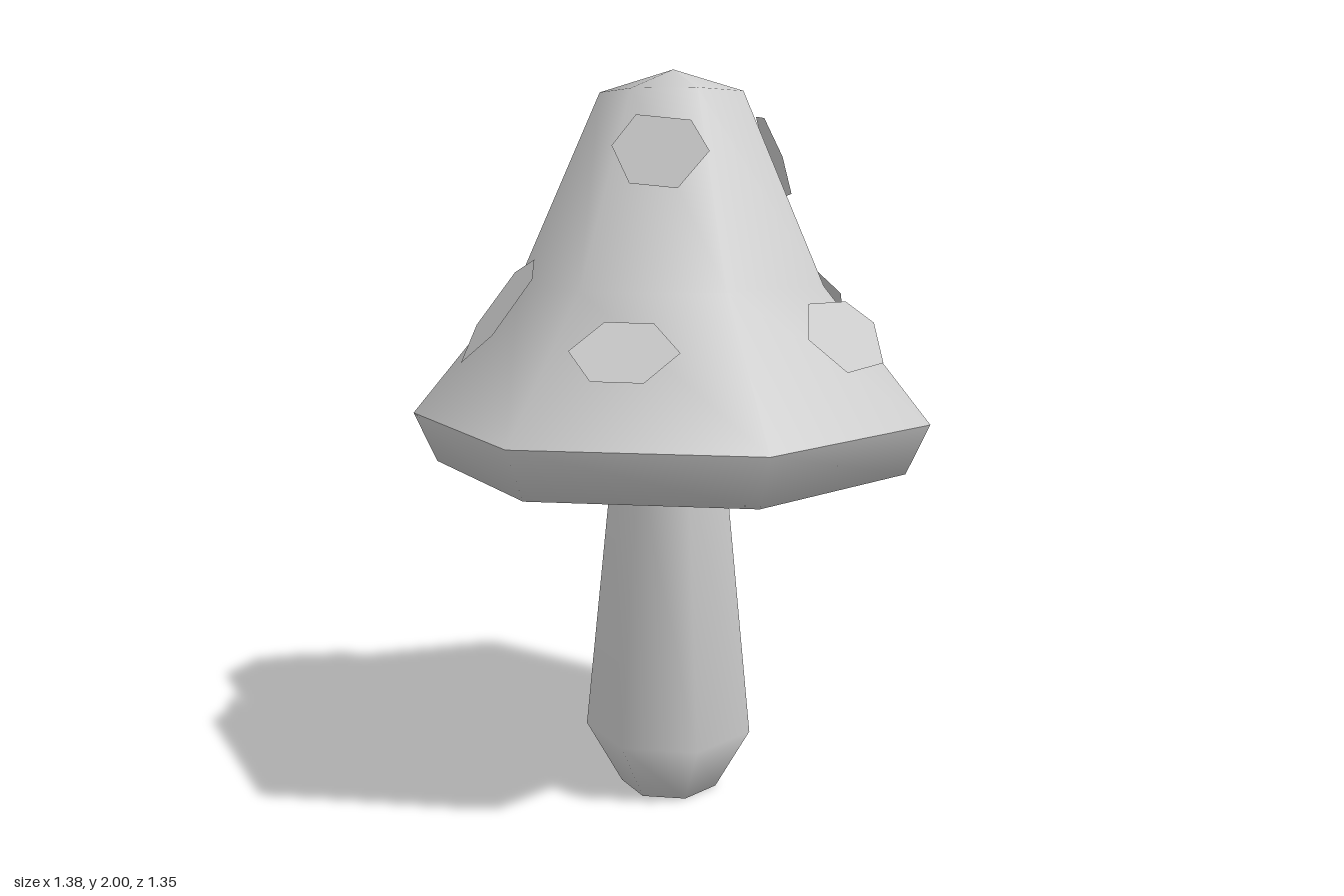
import * as THREE from 'three';

const grey = new THREE.MeshStandardMaterial({ color: 0xcccccc, side: THREE.DoubleSide });
grey.name = 'pale grey';
const black = new THREE.MeshStandardMaterial({ color: 0x0a0a0a, side: THREE.DoubleSide });
black.name = 'black';

// Seven-sided smooth turned part with one corner pointing back
function turned(name, profile, x, z) {
  const points = profile.map(([r, y]) => new THREE.Vector2(r, y));
  const mesh = new THREE.Mesh(new THREE.LatheGeometry(points, 7, Math.PI), grey);
  mesh.name = name;
  mesh.position.set(x, 0, z);
  return mesh;
}

// Flat six-sided spot: plan outline laid on a sloping plane
function spot({ name, centre: [cx, cy, cz], slope: [a, b], outline, material = grey }) {
  const positions = [];
  for (const [x, z] of outline) {
    positions.push(x, cy + a * (x - cx) + b * (z - cz) + 0.008, z);
  }
  const index = [];
  for (let i = 1; i < outline.length - 1; i++) index.push(0, i + 1, i);
  const geometry = new THREE.BufferGeometry();
  geometry.setAttribute('position', new THREE.Float32BufferAttribute(positions, 3));
  geometry.setIndex(index);
  geometry.computeVertexNormals();
  const mesh = new THREE.Mesh(geometry, material);
  mesh.name = name;
  return mesh;
}

const spots = [
  { name: 'frontSpot', centre: [0.13, 1.32, 0.525], slope: [-0.1, -1.25],
    outline: [[-0.03, 0.54], [0.05, 0.47], [0.21, 0.46], [0.28, 0.5], [0.22, 0.58], [0.05, 0.6]] },
  { name: 'lowerRightFrontSpot', centre: [-0.43, 1.3, 0.31], slope: [0.97, -0.7],
    outline: [[-0.51, 0.2], [-0.42, 0.23], [-0.35, 0.33], [-0.35, 0.42], [-0.44, 0.39], [-0.515, 0.285]] },
  { name: 'upperRightFrontSpot', centre: [-0.21, 1.775, 0.2], slope: [1.87, -1.43],
    outline: [[-0.28, 0.1], [-0.22, 0.125], [-0.14, 0.24], [-0.135, 0.3], [-0.21, 0.265], [-0.28, 0.165]] },
  { name: 'upperLeftFrontSpot', centre: [0.2, 1.77, 0.21], slope: [-2.17, -1.64],
    outline: [[0.27, 0.185], [0.19, 0.285], [0.135, 0.3], [0.145, 0.225], [0.205, 0.14], [0.27, 0.115]] },
  { name: 'upperBackSpot', centre: [0.13, 1.7, -0.23], slope: [-1.22, 2.25],
    outline: [[0.04, -0.3], [0.145, -0.275], [0.23, -0.205], [0.215, -0.165], [0.13, -0.19], [0.02, -0.26]] },
  { name: 'leftSpot', centre: [0.48, 1.365, 0.06], slope: [-1.35, 0.1],
    outline: [[0.57, -0.02], [0.59, 0.16], [0.475, 0.23], [0.39, 0.15], [0.385, -0.02], [0.47, -0.11]] },
  { name: 'backSpot', centre: [0, 1.36, -0.48], slope: [0, 1.34], material: black,
    outline: [[-0.035, -0.585], [0.11, -0.53], [0.13, -0.43], [0.01, -0.4], [-0.085, -0.43], [-0.125, -0.5]] },
  { name: 'rightBackSpot', centre: [-0.43, 1.38, -0.17], slope: [1.17, 0.65],
    outline: [[-0.39, -0.34], [-0.305, -0.275], [-0.35, -0.13], [-0.455, -0.005], [-0.545, -0.055], [-0.525, -0.225]] },
];

export function createModel() {
  const model = new THREE.Group();
  model.name = 'mushroom';

  // Stem, swelling just above its foot
  model.add(turned('stem', [[0, 0], [0.14, 0], [0.24, 0.18], [0.16, 0.96]], -0.01, 0.03));

  // Cap, with a hard crease between the dome and the rim
  model.add(turned('capUnderside', [[0, 0.955], [0.65, 0.955], [0.71, 1.09]], 0, 0.03));
  model.add(turned('capDome', [[0.71, 1.09], [0.42, 1.44], [0.195, 1.94], [0, 2]], 0, 0.03));

  // Spots on the cap
  for (const s of spots) model.add(spot(s));
  return model;
}
